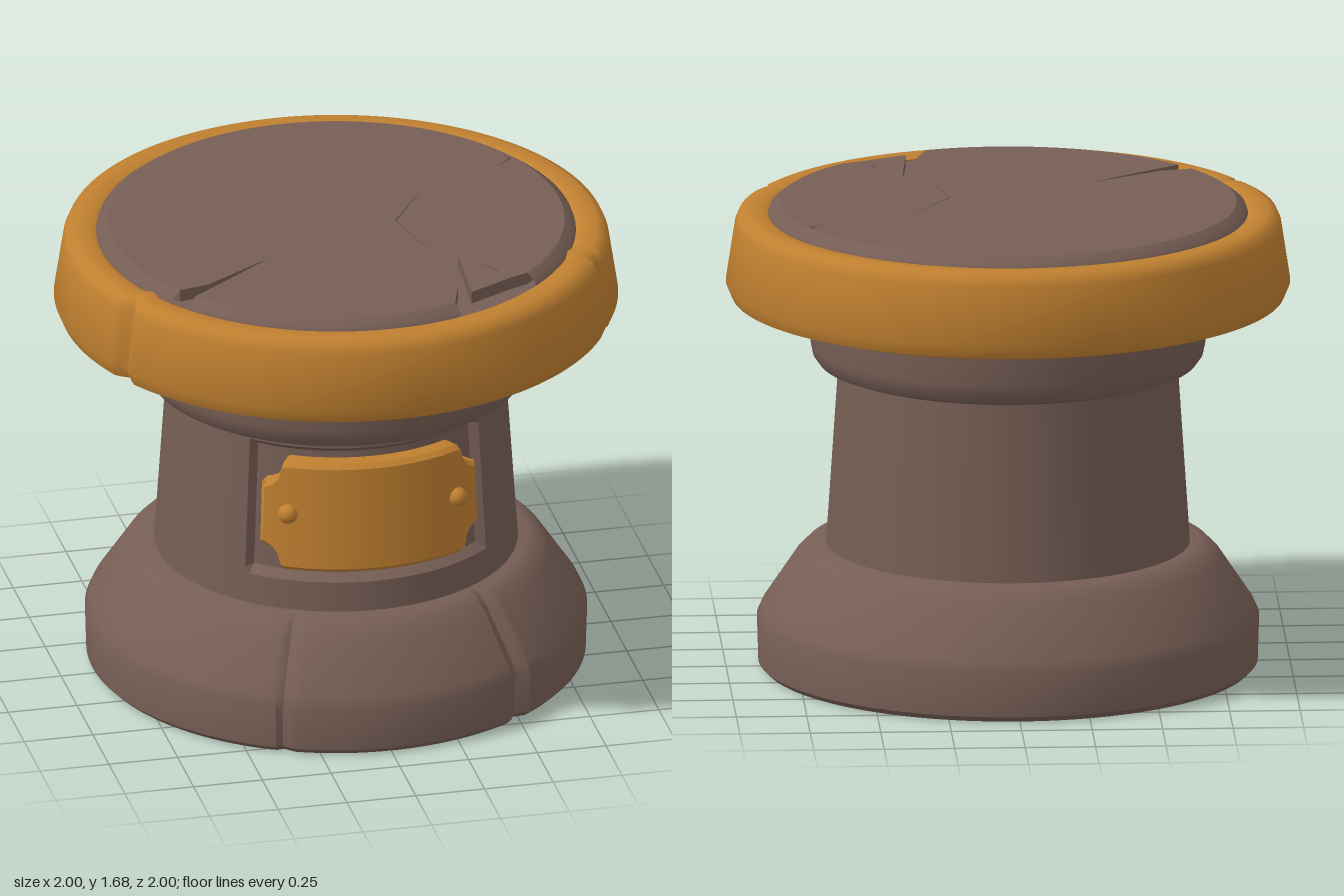
import * as THREE from 'three';
import { toCreasedNormals } from 'three/addons/utils/BufferGeometryUtils.js';

const stone = new THREE.MeshStandardMaterial({ color: 0x765e55 });
stone.name = 'brown stone';
const gold = new THREE.MeshStandardMaterial({ color: 0xc08030 });
gold.name = 'gold';

function addMesh(group, name, geometry, material) {
  const mesh = new THREE.Mesh(geometry, material);
  mesh.name = name;
  group.add(mesh);
  return mesh;
}

// Turned part; dent(angle, y) gives how far the surface is pushed inwards
function turned(profile, dent = () => 0, crease = 0.5) {
  const points = profile.map(([r, y]) => new THREE.Vector2(r, y));
  const geo = new THREE.LatheGeometry(points, 240);
  const p = geo.attributes.position;
  for (let i = 0; i < p.count; i++) {
    const x = p.getX(i), y = p.getY(i), z = p.getZ(i);
    const r = Math.hypot(x, z);
    if (r < 0.3) continue;
    const k = (r - dent(Math.atan2(x, z), y)) / r;
    p.setXYZ(i, x * k, y, z * k);
  }
  return toCreasedNormals(geo, crease);
}

// V-shaped groove running up a turned part
const groove = (angle, at, width, depth) => depth * Math.max(0, 1 - Math.abs(angle - at) / width);

// Thin crack outline along a path, pointed at both ends
function sliver(path, width) {
  const a = path.map(([x, z]) => new THREE.Vector2(x, -z));
  const b = path.slice(1, -1).map(([x, z]) => new THREE.Vector2(x + width, -z));
  return new THREE.Path([...a, ...b.reverse()]);
}

// Curved plaque with notched corners, lofted column by column
function plaqueGeometry() {
  const half = [[0.4, 0.115, 0.56], [0.4, 0.115, 0.638], [0.386, 0.117, 0.655], [0.362, 0.13, 0.655],
    [0.342, 0.155, 0.655], [0.33, 0.2, 0.655], [0.318, 0.205, 0.655]];
  const columns = half.map(([x, h, r]) => [-x, h, r]);
  for (let i = -5; i <= 5; i++) columns.push([i * 0.05, 0.205, 0.655]);
  columns.push(...half.slice().reverse());
  const rows = [[1, 0, 0.56], [1, 0, 0.638], [1, -0.016, 0.655], [-1, 0.016, 0.655], [-1, 0, 0.638], [-1, 0, 0.56]];
  const geo = new THREE.PlaneGeometry(1, 1, columns.length - 1, rows.length - 1);
  rows.forEach(([side, inset, rowR], j) => columns.forEach(([x, h, colR], i) => {
    const y = side * h + inset;
    const r = Math.min(rowR, colR) - y * 0.06;
    const angle = Math.asin(x / 0.655);
    geo.attributes.position.setXYZ(j * columns.length + i, r * Math.sin(angle), 0.815 + y, r * Math.cos(angle));
  }));
  return toCreasedNormals(geo, 0.6);
}

export function createModel() {
  const model = new THREE.Group();
  model.name = 'pedestal';

  // Flared base with two grooves at the front
  addMesh(model, 'base', turned(
    [[0, 0], [0.865, 0], [0.885, 0.02], [0.89, 0.18], [0.872, 0.22], [0.755, 0.395], [0.715, 0.435], [0.68, 0.45], [0.6, 0.45]],
    (a) => groove(a, -0.44, 0.035, 0.02) + groove(a, 0.6, 0.05, 0.03)), stone);

  // Tapered shaft with a shallow niche behind the plaque
  const shaft = [];
  for (const y of [0.44, 0.5, 0.56, 0.585, 0.7, 0.8, 0.9, 1.0, 1.045, 1.07, 1.11]) {
    shaft.push([0.645 - (y - 0.44) * 0.067, y]);
  }
  addMesh(model, 'shaft', turned(shaft,
    (a, y) => (Math.abs(a) < 0.74 && y > 0.58 && y < 1.05 ? 0.035 : 0)), stone);

  // Collar under the rim
  addMesh(model, 'collar', turned(
    [[0.55, 1.1], [0.64, 1.1], [0.672, 1.112], [0.692, 1.14], [0.7, 1.18], [0.695, 1.345]]), stone);

  // Gold rim with a groove on each side
  addMesh(model, 'rim', turned(
    [[0.6, 1.34], [0.94, 1.34], [0.98, 1.352], [1.0, 1.4], [0.968, 1.61], [0.955, 1.64], [0.925, 1.655], [0.87, 1.655], [0.85, 1.645], [0.85, 1.6]],
    (a) => groove(Math.abs(a), 1.1, 0.045, 0.03), 0.7), gold);

  // Top slab with cracks open to the rim
  const floor = addMesh(model, 'crackFloor', new THREE.CircleGeometry(0.86, 96), stone);
  floor.rotation.x = -Math.PI / 2;
  floor.position.y = 1.64;

  const cracks = [
    { from: -0.98, to: -0.89, inner: [[-0.56, 0.425], [-0.3, 0.26], [-0.52, 0.43]] },
    { from: 0.32, to: 0.76, inner: [[0.29, 0.66], [0.355, 0.38], [0.33, 0.7], [0.5, 0.61]] },
  ];
  const R = 0.81;
  const outline = [];
  cracks.forEach((crack, i) => {
    crack.inner.forEach(([x, z]) => outline.push(new THREE.Vector2(x, -z)));
    const end = i + 1 < cracks.length ? cracks[i + 1].from : cracks[0].from + Math.PI * 2;
    const arc = end - crack.to;
    const steps = Math.ceil(arc / 0.06);
    for (let s = 0; s <= steps; s++) {
      const a = crack.to + (arc * s) / steps;
      outline.push(new THREE.Vector2(R * Math.sin(a), -R * Math.cos(a)));
    }
    // Sloping edge of the slab between the cracks
    const edge = [[0.852, 1.638], [0.845, 1.66], [R, 1.685]].map(([r, y]) => new THREE.Vector2(r, y));
    addMesh(model, 'slabEdge', new THREE.LatheGeometry(edge, steps, crack.to, arc), stone);
  });
  const top = new THREE.Shape(outline);
  top.holes.push(
    sliver([[0.36, -0.18], [0.2, 0.06], [0.25, 0.28], [0.33, 0.36]], 0.006),
    sliver([[0.38, 0.42], [0.45, 0.53], [0.46, 0.59]], 0.01),
    sliver([[0.67, -0.4], [0.71, -0.35], [0.66, -0.3]], 0.012));
  const slab = new THREE.ExtrudeGeometry(top, { depth: 0.045, bevelEnabled: false });
  slab.rotateX(-Math.PI / 2).translate(0, 1.64, 0);
  addMesh(model, 'topSlab', slab, stone);

  // Plaque and its two rivets
  addMesh(model, 'plaque', plaqueGeometry(), gold);
  for (const side of [-1, 1]) {
    const rivet = addMesh(model, 'rivet', new THREE.SphereGeometry(0.036, 20, 14), gold);
    rivet.position.set(side * 0.308, 0.828, 0.575);
  }
  return model;
}
